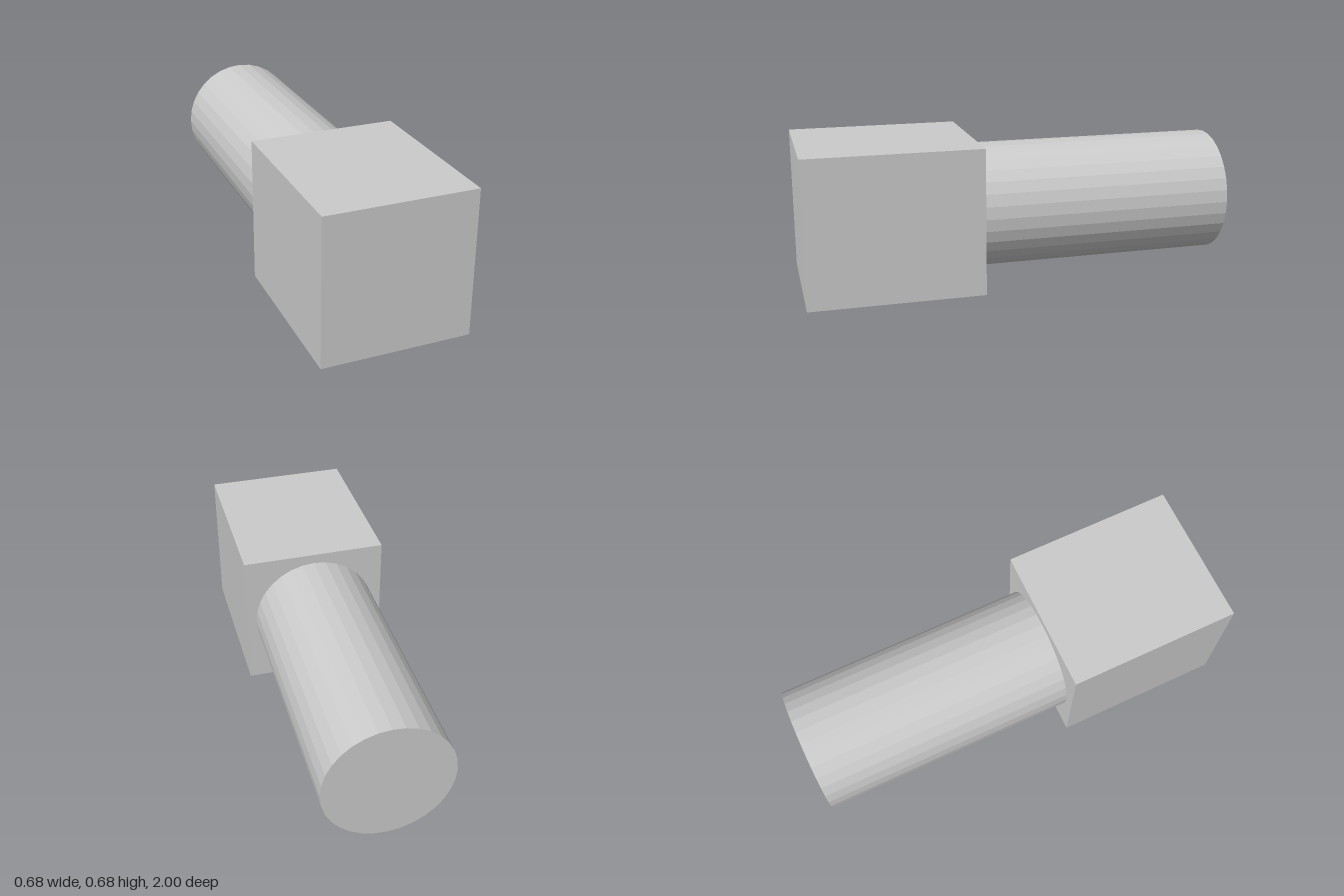
import * as THREE from 'three';

export function createModel() {
  const model = new THREE.Group();
  const material = new THREE.MeshStandardMaterial({ color: 0xcccccc, flatShading: true });
  const size = 0.675, back = -1, joint = 0.2, front = 1;

  const add = (name, geometry, z) => {
    const mesh = new THREE.Mesh(geometry, material);
    mesh.name = name;
    mesh.position.set(0, size / 2, z);
    model.add(mesh);
  };

  // Square block at the front
  add('headBlock', new THREE.BoxGeometry(size, size, front - joint), (front + joint) / 2);

  // Faceted round shaft running back from the block
  const shaft = new THREE.CylinderGeometry(0.292, 0.292, joint - back, 32).rotateX(Math.PI / 2);
  add('shaft', shaft, (joint + back) / 2);

  return model;
}
